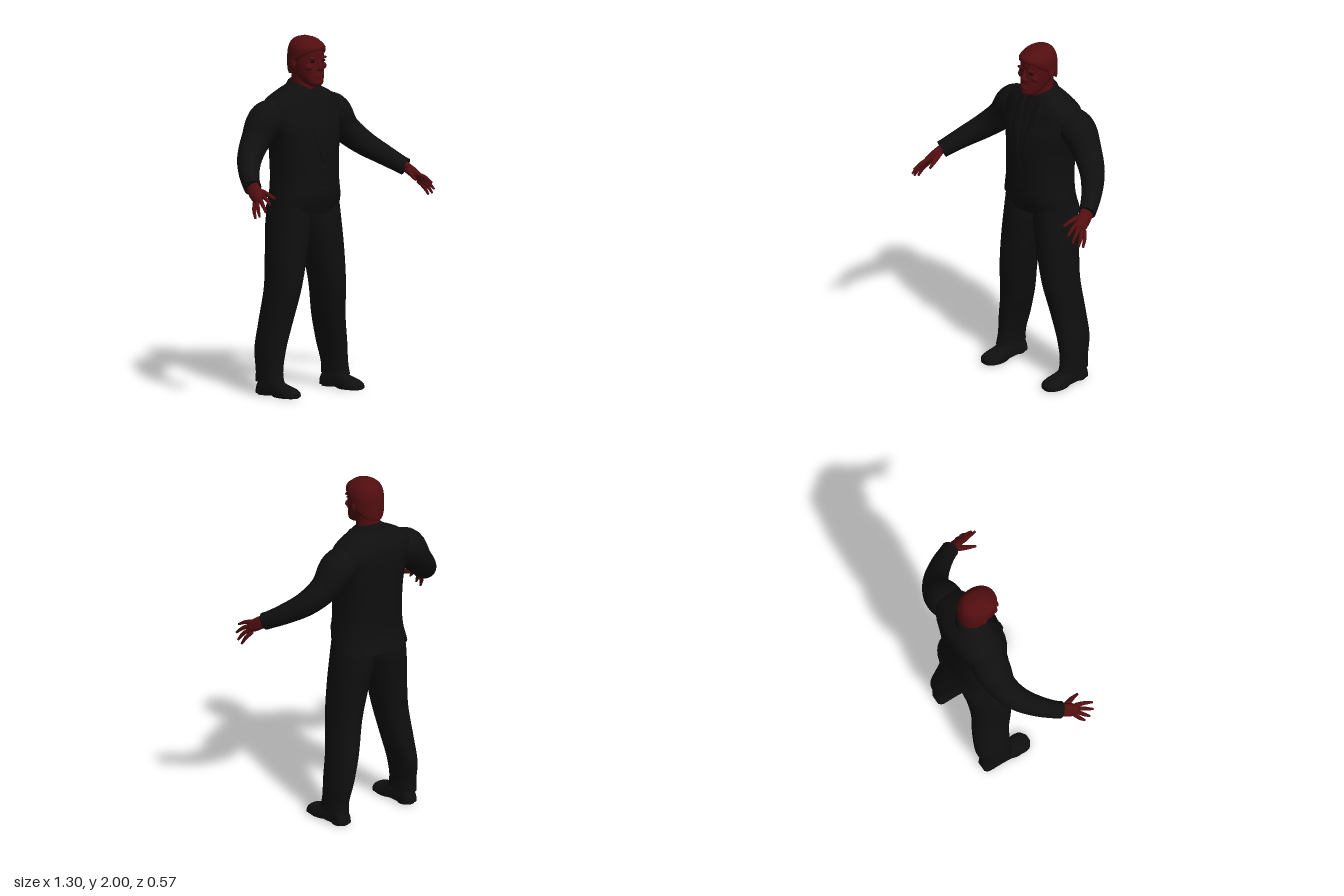
import * as THREE from 'three';

const mat = (name, color) => Object.assign(new THREE.MeshStandardMaterial({ color }), { name });
const V3 = (x, y, z) => new THREE.Vector3(x, y, z);

// Closed skin over rings {c, U, V, n}: centre, two half-axes, superellipse power
function loft(rings, seg = 32) {
  const pos = [], idx = [], pw = (v, n) => Math.sign(v) * Math.abs(v) ** (2 / n);
  const addRing = ({ c, U, V, n = 2, floor = -Infinity }) => {
    for (let j = 0; j < seg; j++) {
      const a = j / seg * Math.PI * 2;
      const p = c.clone().addScaledVector(U, pw(Math.cos(a), n)).addScaledVector(V, pw(Math.sin(a), n));
      pos.push(p.x, Math.max(p.y, floor), p.z);
    }
  };
  rings.forEach(addRing);
  for (let i = 0; i < rings.length - 1; i++) for (let j = 0; j < seg; j++) {
    const a = i * seg + j, b = i * seg + (j + 1) % seg;
    idx.push(a, a + seg, b, b, a + seg, b + seg);
  }
  [rings[0], rings.at(-1)].forEach((r, end) => {
    const s = pos.length / 3;
    addRing(r);
    pos.push(r.c.x, Math.max(r.c.y, r.floor ?? -Infinity), r.c.z);
    for (let j = 0; j < seg; j++) {
      const a = s + j, b = s + (j + 1) % seg;
      idx.push(s + seg, ...(end ? [b, a] : [a, b]));
    }
  });
  return build(pos, idx);
}

function build(pos, idx) {
  const g = new THREE.BufferGeometry();
  g.setAttribute('position', new THREE.Float32BufferAttribute(pos, 3));
  g.setIndex(idx);
  g.computeVertexNormals();
  return g;
}

// Smooth lookup of rows whose first value rises
function sampler(rows) {
  const w = rows[0].length - 1;
  const it = new THREE.CubicInterpolant(rows.map(r => r[0]), rows.flatMap(r => r.slice(1)), w, new Array(w));
  return t => Array.from(it.evaluate(t));
}

// Upright form from rows [y, cx, cz, rx, rz, slope]; slope lifts the front of the ring
function upright(rows, n = 2, steps = 28) {
  const at = sampler(rows), y0 = rows[0][0], y1 = rows.at(-1)[0], rings = [];
  for (let i = 0; i <= steps; i++) {
    const y = y0 + (y1 - y0) * i / steps, [cx, cz, rx, rz, slope = 0] = at(y);
    rings.push({ c: V3(cx, y, cz), U: V3(rx, 0, 0), V: V3(0, slope * rz, rz), n });
  }
  return loft(rings);
}

// Limb along a path with radii; flat squeezes it along the given side vector
function limb(points, radii, side = V3(0, 0, 1), flat = 1, steps = 20, seg = 20) {
  const curve = new THREE.CatmullRomCurve3(points.map(p => V3(...p)));
  const rad = sampler(radii.map((r, i) => [i, r])), rings = [];
  for (let i = 0; i <= steps; i++) {
    const t = i / steps, T = curve.getTangent(t), r = rad(t * (radii.length - 1))[0];
    const V = side.clone().addScaledVector(T, -side.dot(T)).normalize();
    const U = T.clone().cross(V);
    rings.push({ c: curve.getPoint(t), U: U.multiplyScalar(r), V: V.multiplyScalar(r * flat) });
  }
  return loft(rings, seg);
}

function ball(x, y, z, rx, ry, rz) {
  return new THREE.SphereGeometry(1, 20, 14).scale(rx, ry, rz).translate(x, y, z);
}

function mirrored(g) {
  const m = g.clone().scale(-1, 1, 1), a = m.index.array;
  for (let i = 0; i < a.length; i += 3) [a[i], a[i + 1]] = [a[i + 1], a[i]];
  m.computeVertexNormals();
  return m;
}

const torsoRows = [
  [1.01, 0, -.131, .226, .15], [1.1, 0, -.107, .213, .155], [1.2, 0, -.106, .2, .157],
  [1.3, 0, -.108, .2, .16], [1.4, 0, -.112, .207, .161], [1.5, 0, -.122, .232, .155],
  [1.58, 0, -.138, .25, .139], [1.64, 0, -.142, .232, .124], [1.68, 0, -.14, .175, .102],
  [1.715, 0, -.135, .1, .082], [1.735, 0, -.13, .07, .06]];
const torsoPower = 2.4, torsoAt = sampler(torsoRows);

// Front surface of the jacket at (x, y)
function chestZ(x, y) {
  const [, cz, rx, rz] = torsoAt(y);
  return cz + rz * Math.max(0, 1 - Math.abs(x / rx) ** torsoPower) ** (1 / torsoPower);
}

// Thin cloth panel on the chest from rows [y, x inner, x outer], top to bottom
function panel(rows, lift) {
  const up = sampler(rows.map(([y, a, b]) => [-y, a, b])), pos = [], idx = [], N = 16, M = 6;
  for (let i = 0; i <= N; i++) {
    const y = rows[0][0] + (rows.at(-1)[0] - rows[0][0]) * i / N, [a, b] = up(-y);
    for (let j = 0; j <= M; j++) {
      const x = a + (b - a) * j / M;
      pos.push(x, y, chestZ(x, y) + (j % M ? lift : lift * .4));
      if (i < N && j < M) {
        const k = i * (M + 1) + j;
        idx.push(k, k + M + 1, k + 1, k + 1, k + M + 1, k + M + 2);
      }
    }
  }
  return build(pos, idx);
}

export function createModel() {
  const model = new THREE.Group();
  const skin = mat('skin', 0x520e10), suit = mat('suit', 0x0f0f0f), dark = mat('eye', 0x100506);
  const cloth = mat('suitPanel', 0x0f0f0f);
  cloth.side = THREE.DoubleSide;
  const add = (name, g, m) => {
    const mesh = new THREE.Mesh(g, m);
    mesh.name = name;
    model.add(mesh);
  };
  const pair = (name, g, m) => {
    add('left' + name, g, m);
    add('right' + name, mirrored(g), m);
  };

  // Jacket, collar and front details
  add('jacket', upright(torsoRows, torsoPower, 44), suit);
  add('collar', upright([[1.66, 0, -.132, .115, .1, .1], [1.7, 0, -.13, .095, .088, -.2],
    [1.725, 0, -.128, .076, .076, -.35], [1.735, 0, -.126, .066, .066, -.35]], 2, 12), suit);
  pair('Lapel', panel([[1.69, .045, .08], [1.62, .035, .092], [1.55, .026, .088], [1.42, .012, .05], [1.3, 0, .006]], .009), cloth);
  add('tie', panel([[1.67, -.014, .014], [1.63, -.01, .01], [1.5, -.018, .018], [1.33, -.02, .02]], .005), cloth);
  pair('PocketFlap', panel([[1.13, .09, .17], [1.09, .09, .17]], .007), cloth);
  for (const y of [1.27, 1.18]) add('button', ball(.012, y, chestZ(.012, y), .009, .009, .005), suit);

  // Sleeves
  pair('Sleeve', limb([[.15, 1.57, -.145], [.245, 1.54, -.15], [.33, 1.44, -.14], [.42, 1.355, -.09],
    [.5, 1.287, -.005], [.55, 1.24, .07], [.566, 1.224, .1]],
    [.09, .103, .083, .07, .058, .05, .049], V3(.3, .2, 1), 1, 32, 28), suit);

  // Trousers and shoes
  pair('TrouserLeg', upright([[.075, .243, -.12, .057, .1], [.12, .242, -.125, .056, .092], [.25, .228, -.136, .066, .104],
    [.4, .197, -.127, .077, .109], [.6, .164, -.102, .088, .118], [.8, .135, -.106, .107, .125],
    [.95, .113, -.115, .112, .136], [1.06, .11, -.115, .1, .13]], 2.2, 36), suit);
  const shoeAt = sampler([[-.213, .03, .03], [-.2, .043, .075], [-.15, .047, .1], [-.07, .049, .098],
    [-.02, .054, .077], [.04, .06, .06], [.075, .05, .047], [.095, .022, .028]]);
  const shoeRings = [];
  for (let i = 0; i <= 24; i++) {
    const z = -.213 + .308 * i / 24, [w, h] = shoeAt(z);
    shoeRings.push({ c: V3(.236, .012, z), U: V3(0, h - .012, 0), V: V3(w, 0, 0), n: 2.3, floor: .008 });
  }
  // ring axes are ordered so that V x U points backward, so run from toe to heel
  pair('Shoe', loft(shoeRings.map(r => ({ ...r, U: r.V, V: r.U })).reverse()), suit);
  pair('Heel', new THREE.CylinderGeometry(.045, .045, .02, 24).scale(1, 1, 1.1).translate(.236, .01, -.16), suit);
  pair('Sole', new THREE.CylinderGeometry(.057, .057, .01, 28).scale(1, 1, 1.55).translate(.236, .007, .004), suit);

  // Hands: palm spread from little finger to index
  const across = V3(-.4, .55, .6).normalize();
  pair('Palm', limb([[.556, 1.24, .075], [.572, 1.216, .115], [.584, 1.193, .15], [.595, 1.172, .183], [.6, 1.162, .198]],
    [.025, .024, .024, .02, .011], across, 1.65), skin);
  const fingers = [
    [[.576, 1.192, .19], [.588, 1.178, .24], [.6, 1.153, .285]],
    [[.59, 1.176, .188], [.612, 1.15, .235], [.624, 1.113, .275]],
    [[.6, 1.162, .178], [.627, 1.128, .212], [.64, 1.085, .242]],
    [[.605, 1.15, .162], [.63, 1.113, .185], [.642, 1.072, .208]],
    [[.56, 1.213, .125], [.535, 1.195, .185], [.52, 1.172, .238]]];
  fingers.forEach((f, i) => pair(i < 4 ? 'Finger' : 'Thumb',
    limb(f, i < 4 ? [.0125, .011, .006] : [.02, .014, .007], across, 1, 10, 12), skin));

  // Neck and head
  add('neck', upright([[1.64, 0, -.125, .075, .075], [1.72, 0, -.118, .064, .072], [1.84, 0, -.112, .062, .074]], 2, 10), skin);
  add('head', upright([[1.724, 0, -.012, .022, .022], [1.735, 0, -.022, .042, .045], [1.76, 0, -.045, .06, .07],
    [1.79, 0, -.068, .072, .09], [1.84, 0, -.083, .083, .102], [1.88, 0, -.088, .087, .104],
    [1.93, 0, -.09, .086, .104], [1.965, 0, -.093, .068, .085], [1.985, 0, -.095, .035, .045]], 2.15, 36), skin);
  add('hair', upright([[1.845, 0, -.1, .086, .098, .72], [1.86, 0, -.094, .093, .108, .6], [1.895, 0, -.09, .096, .113, .3],
    [1.935, 0, -.089, .092, .111, .12], [1.968, 0, -.092, .074, .09, 0], [1.99, 0, -.096, .044, .056, 0],
    [2, 0, -.1, .008, .01, 0]], 2.15, 36), skin);
  add('nose', limb([[0, 1.885, .01], [0, 1.855, .019], [0, 1.83, .027], [0, 1.818, .02]],
    [.008, .011, .014, .011], V3(0, 0, 1), 1, 12, 14), skin);
  pair('Nostril', ball(.012, 1.824, .016, .01, .009, .012), skin);
  add('upperLip', ball(0, 1.787, .018, .028, .006, .013), skin);
  add('lowerLip', ball(0, 1.773, .017, .024, .007, .013), skin);
  add('chin', ball(0, 1.748, .004, .028, .02, .024), skin);
  pair('Brow', ball(.037, 1.885, .007, .027, .008, .014).rotateZ(0), skin);
  pair('Cheek', ball(.048, 1.835, -.012, .026, .022, .021), skin);
  pair('Eye', ball(.037, 1.867, .006, .018, .007, .007), dark);
  pair('Ear', ball(0, 0, 0, .01, .032, .019).rotateX(.15).rotateY(-.3).translate(.09, 1.853, -.098), skin);
  return model;
}
